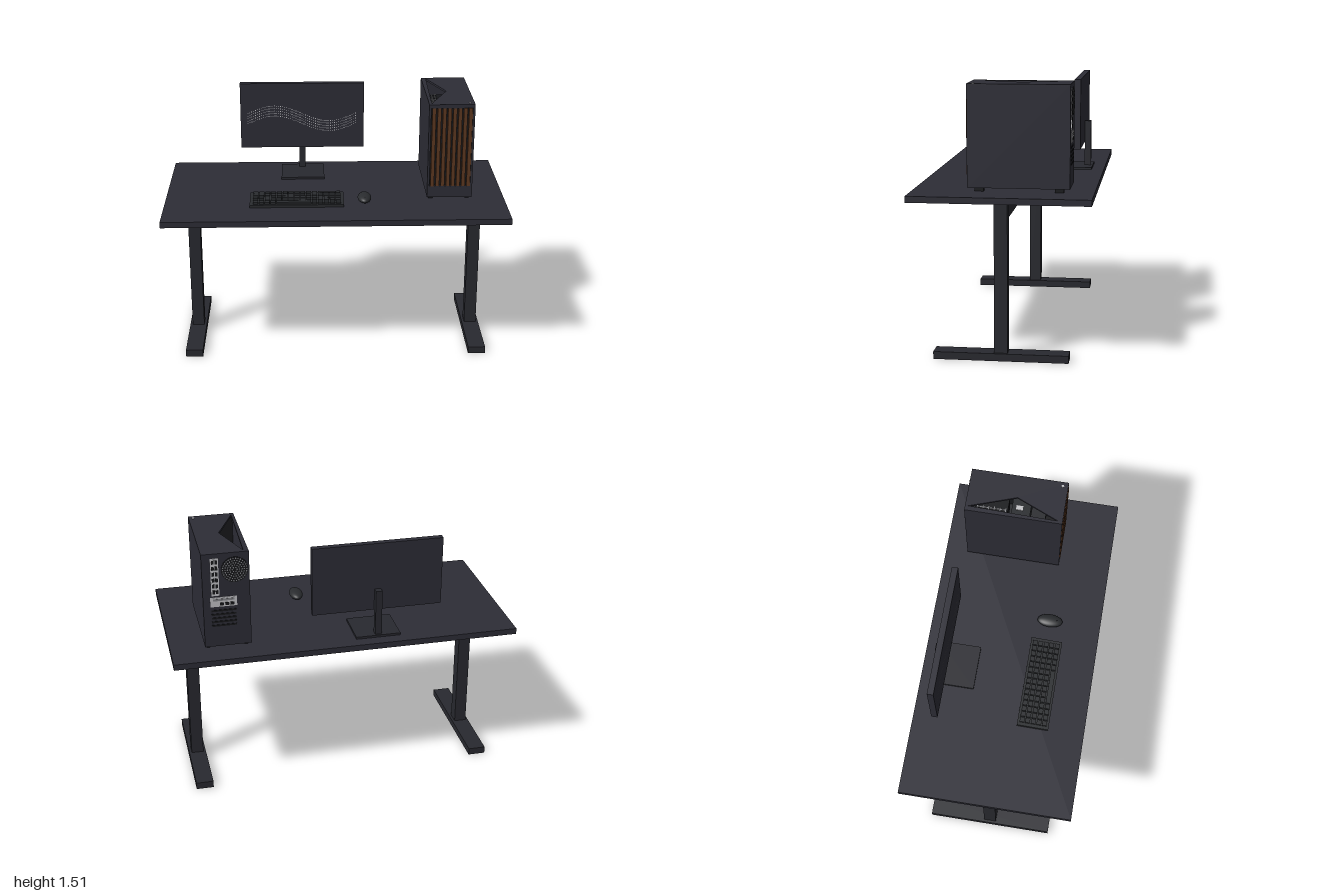
import * as THREE from 'three';
import { mergeGeometries } from 'three/addons/utils/BufferGeometryUtils.js';

const mat = (name, color) => {
  const m = new THREE.MeshStandardMaterial({ color });
  m.name = name;
  return m;
};

export function createModel() {
  const charcoal = mat('charcoal', 0x2d2d36);
  const frame = mat('frame grey', 0x28292f);
  const keyGrey = mat('key grey', 0x2a2c2f);
  const black = mat('black', 0x17181b);
  const wood = mat('walnut', 0x5c3820);
  const light = mat('light grey', 0xc4c4c8);
  const steel = mat('steel', 0x85868a);

  const model = new THREE.Group();
  model.name = 'deskSetup';
  const group = (name) => {
    const g = new THREE.Group();
    g.name = name;
    model.add(g);
    return g;
  };
  const add = (parent, name, geometry, material) => {
    const m = new THREE.Mesh(geometry, material);
    m.name = name;
    parent.add(m);
    return m;
  };
  // Box given by its limits on each axis
  const span = (x0, x1, y0, y1, z0, z1) =>
    new THREE.BoxGeometry(x1 - x0, y1 - y0, z1 - z0)
      .translate((x0 + x1) / 2, (y0 + y1) / 2, (z0 + z1) / 2);

  // Desk
  const desk = group('desk');
  add(desk, 'deskTop', span(-1, 1, 0.89, 0.925, -0.5, 0.5), charcoal);
  add(desk, 'crossbar', span(-0.82, 0.82, 0.765, 0.838, -0.02, 0.02), frame);
  for (const s of [-1, 1]) {
    add(desk, 'leg', span(-0.036, 0.036, 0.042, 0.89, -0.037, 0.037), frame).position.x = s * 0.85;
    add(desk, 'foot', span(-0.051, 0.051, 0, 0.042, -0.374, 0.374), frame).position.x = s * 0.85;
  }

  // Monitor
  const monitor = group('monitor');
  add(monitor, 'screen', span(-0.57, 0.19, 1.08, 1.49, -0.376, -0.34), charcoal);
  add(monitor, 'standPole', span(-0.21, -0.172, 0.935, 1.21, -0.414, -0.376), frame);
  add(monitor, 'standBase', span(-0.32, -0.057, 0.925, 0.938, -0.426, -0.18), frame);
  const dots = [];
  for (let row = -2; row <= 2; row++) {
    for (let i = 0; i <= 56; i++) {
      const t = i / 56;
      const y = 1.267 + 0.048 * Math.sin(t * Math.PI * 2) + row * 0.016;
      dots.push(new THREE.PlaneGeometry(0.0055, 0.0045).translate(-0.525 + 0.665 * t, y, -0.339));
    }
  }
  add(monitor, 'screenWave', mergeGeometries(dots), light);

  // Keyboard, tilted towards the user
  const keyboard = group('keyboard');
  keyboard.position.set(-0.225, 0.926, 0.198);
  keyboard.rotation.x = 0.05;
  add(keyboard, 'keyboardBody', span(-0.275, 0.275, 0, 0.02, -0.092, 0.092), keyGrey);
  const keys = [];
  for (let r = 0; r < 5; r++) {
    for (let c = 0; c < 15; c++) {
      if (r === 4 && c > 3 && c < 10) continue;
      keys.push(new THREE.BoxGeometry(0.029, 0.012, 0.027)
        .translate((c - 7) * 0.0345, 0.026, (r - 2) * 0.033));
    }
  }
  keys.push(new THREE.BoxGeometry(0.2015, 0.012, 0.027).translate(-0.5 * 0.0345, 0.026, 0.066));
  add(keyboard, 'keys', mergeGeometries(keys), keyGrey);

  // Mouse: half ellipsoid with a wheel
  const mouse = group('mouse');
  mouse.position.set(0.172, 0.925, 0.198);
  const shell = new THREE.SphereGeometry(1, 32, 20).scale(0.04, 0.024, 0.075);
  add(mouse, 'mouseBody', shell, keyGrey).position.y = 0.024;
  add(mouse, 'mouseWheel', new THREE.CylinderGeometry(0.008, 0.008, 0.005, 16).rotateZ(Math.PI / 2), black)
    .position.set(0, 0.038, 0.042);

  // Computer tower shell
  const tower = group('tower');
  add(tower, 'rightPanel', span(0.54, 0.55, 0.945, 1.505, -0.368, 0.192), charcoal);
  add(tower, 'leftPanel', span(0.795, 0.805, 0.945, 1.512, -0.368, 0.192), charcoal);
  add(tower, 'floor', span(0.55, 0.795, 0.945, 0.965, -0.368, 0.19), charcoal);
  add(tower, 'backPanel', span(0.55, 0.795, 0.965, 1.5, -0.368, -0.358), charcoal);
  add(tower, 'frontBackplate', span(0.55, 0.795, 0.965, 1.5, 0.17, 0.182), black);
  add(tower, 'frontLowerPanel', span(0.54, 0.805, 0.945, 1.015, 0.182, 0.195), charcoal);
  add(tower, 'frontUpperRail', span(0.54, 0.805, 1.49, 1.505, 0.182, 0.195), charcoal);
  for (const x of [0.54, 0.793]) {
    add(tower, 'frontSideRail', span(x, x + 0.012, 1.015, 1.49, 0.182, 0.195), charcoal);
  }
  for (const x of [0.565, 0.78]) {
    for (const z of [-0.31, 0.13]) {
      add(tower, 'towerFoot', span(x - 0.012, x + 0.012, 0.925, 0.945, z - 0.025, z + 0.025), black);
    }
  }
  for (let i = 0; i < 8; i++) {
    const x = 0.569 + i * 0.0302;
    add(tower, 'woodSlat', span(x - 0.0105, x + 0.0105, 1.015, 1.49, 0.182, 0.199), wood);
  }

  // Top panel with a triangular opening
  const top = new THREE.Shape([[0.54, -0.195], [0.805, -0.195], [0.805, 0.368], [0.54, 0.368]]
    .map(([x, y]) => new THREE.Vector2(x, y)));
  top.holes.push(new THREE.Path([[0.556, -0.17], [0.568, 0.35], [0.665, 0.08]]
    .map(([x, y]) => new THREE.Vector2(x, y))));
  add(tower, 'topPanel', new THREE.ExtrudeGeometry(top, { depth: 0.012, bevelEnabled: false })
    .rotateX(-Math.PI / 2), charcoal).position.y = 1.5;
  add(tower, 'powerButton', new THREE.CylinderGeometry(0.008, 0.008, 0.004, 20), light)
    .position.set(0.778, 1.513, 0.163);

  // Parts inside the tower
  add(tower, 'mainboard', span(0.77, 0.78, 1.08, 1.46, -0.33, 0.05), black);
  add(tower, 'graphicsCard', span(0.6, 0.77, 1.16, 1.21, -0.35, 0.08), keyGrey);
  add(tower, 'powerShroud', span(0.555, 0.795, 0.965, 1.07, -0.355, 0.165), black);
  add(tower, 'coolerBlock', span(0.59, 0.77, 1.3, 1.42, -0.11, 0.0), keyGrey);
  add(tower, 'coolerCap', span(0.632, 0.66, 1.42, 1.425, -0.085, -0.045), light);
  add(tower, 'finStack', span(0.56, 0.7, 1.3, 1.42, -0.32, -0.13), black);
  const fins = [];
  for (let i = 0; i < 4; i++) fins.push(span(0.565 + i * 0.017, 0.57 + i * 0.017, 1.42, 1.424, -0.31, -0.14));
  for (let i = 0; i < 6; i++) fins.push(span(0.565, 0.63, 1.42, 1.424, -0.31 + i * 0.033, -0.305 + i * 0.033));
  add(tower, 'fins', mergeGeometries(fins), steel);

  // Back: port strip
  const back = -0.368;
  const plate = (name, x0, x1, y0, y1, depth, material) =>
    add(tower, name, span(x0, x1, y0, y1, back - depth, back), material);
  plate('portStrip', 0.712, 0.757, 1.26, 1.485, 0.003, light);
  for (let i = 0; i < 6; i++) {
    const y = 1.272 + i * 0.036;
    plate('port', 0.718, 0.732, y, y + 0.022, 0.006, black);
    plate('port', 0.737, 0.751, y, y + 0.022, 0.006, black);
  }

  // Back: fan with perforated grille
  const disc = (r, depth) => new THREE.CylinderGeometry(r, r, depth, 40).rotateX(Math.PI / 2);
  add(tower, 'fanDisc', disc(0.076, 0.004), black).position.set(0.622, 1.41, back - 0.001);
  const holes = [];
  for (let ring = 1; ring <= 5; ring++) {
    for (let i = 0; i < ring * 6; i++) {
      const a = (i / (ring * 6)) * Math.PI * 2;
      holes.push(new THREE.CircleGeometry(0.0042, 6).rotateY(Math.PI)
        .translate(0.622 + ring * 0.0135 * Math.cos(a), 1.41 + ring * 0.0135 * Math.sin(a), back - 0.004));
    }
  }
  add(tower, 'fanGrille', mergeGeometries(holes), steel);

  // Back: card bracket and slot covers
  plate('cardBracket', 0.615, 0.765, 1.192, 1.25, 0.003, light);
  for (let i = 0; i < 3; i++) {
    plate('cardPort', 0.63 + i * 0.03, 0.652 + i * 0.03, 1.2, 1.216, 0.006, black);
  }
  plate('cardVent', 0.63, 0.75, 1.228, 1.24, 0.005, steel);
  for (let i = 0; i < 5; i++) {
    plate('slotCover', 0.62, 0.76, 1.07 + i * 0.023, 1.08 + i * 0.023, 0.003, black);
  }
  return model;
}
